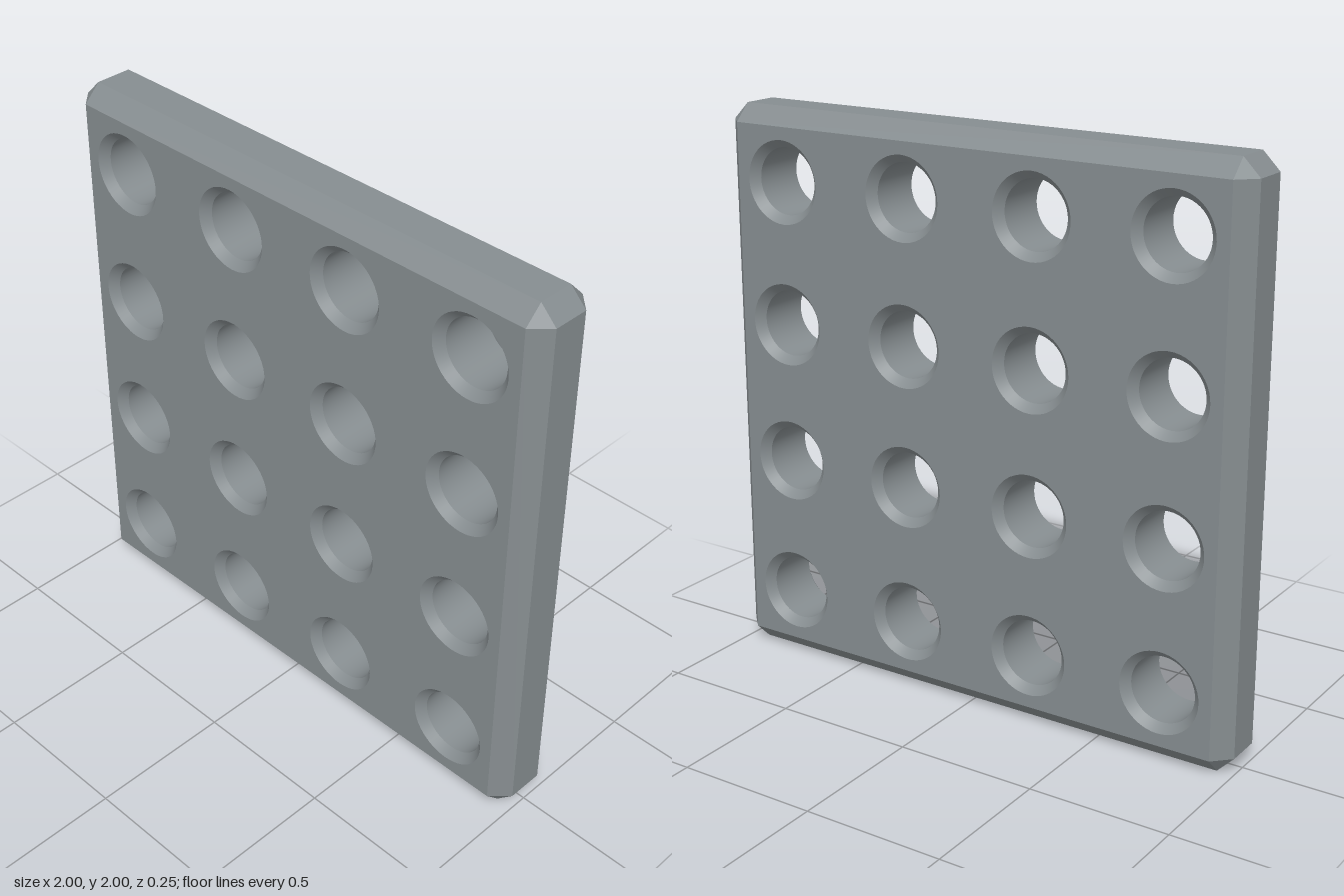
import * as THREE from 'three';
import { mergeGeometries } from 'three/addons/utils/BufferGeometryUtils.js';

const HALF = 1, DEPTH = 0.125, BEVEL = 0.06;      // plate half size, half thickness, edge chamfer
const HOLE_R = 0.117, RIM_R = 0.145, SINK = 0.03; // bore, countersink radius and depth
const CENTRES = [-0.75, -0.25, 0.25, 0.75];
const SEGMENTS = 48;

// Chamfered outer edge: four loops of eight points, joined back to front
function edgeGeometry() {
  const a = HALF - BEVEL;
  const loop = (outer, z) => [
    [outer, -a], [outer, a], [a, outer], [-a, outer],
    [-outer, a], [-outer, -a], [-a, -outer], [a, -outer],
  ].map(([x, y]) => new THREE.Vector3(x, y, z));
  const loops = [
    loop(a, -DEPTH), loop(HALF, -DEPTH + BEVEL),
    loop(HALF, DEPTH - BEVEL), loop(a, DEPTH),
  ];
  const points = [];
  const addTriangle = (p, q, r) => {
    if (!p.equals(q) && !q.equals(r) && !r.equals(p)) points.push(p, q, r);
  };
  for (let i = 0; i < 3; i++) {
    for (let j = 0; j < 8; j++) {
      const k = (j + 1) % 8;
      addTriangle(loops[i][j], loops[i][k], loops[i + 1][k]);
      addTriangle(loops[i][j], loops[i + 1][k], loops[i + 1][j]);
    }
  }
  const geometry = new THREE.BufferGeometry().setFromPoints(points);
  geometry.computeVertexNormals();
  return geometry;
}

// Flat square face pierced by the grid of holes
function faceGeometry() {
  const a = HALF - BEVEL;
  const shape = new THREE.Shape([
    new THREE.Vector2(-a, -a), new THREE.Vector2(a, -a),
    new THREE.Vector2(a, a), new THREE.Vector2(-a, a),
  ]);
  for (const x of CENTRES) {
    for (const y of CENTRES) {
      shape.holes.push(new THREE.Path().absarc(x, y, RIM_R, 0, Math.PI * 2, true));
    }
  }
  return new THREE.ShapeGeometry(shape, SEGMENTS / 2);
}

// Inward-facing bore with a countersink at each end; separate bands keep the rims sharp
function holeGeometry() {
  const profile = [
    [RIM_R, DEPTH], [HOLE_R, DEPTH - SINK], [HOLE_R, SINK - DEPTH], [RIM_R, -DEPTH],
  ].map(([r, y]) => new THREE.Vector2(r, y));
  const bands = [0, 1, 2].map((i) => new THREE.LatheGeometry(profile.slice(i, i + 2), SEGMENTS));
  return mergeGeometries(bands).rotateX(Math.PI / 2);
}

export function createModel() {
  const model = new THREE.Group();
  model.name = 'perforatedPlate';
  const material = new THREE.MeshStandardMaterial({ color: 0x868d90 });
  const add = (name, geometry, x, y, z) => {
    const mesh = new THREE.Mesh(geometry, material);
    mesh.name = name;
    mesh.position.set(x, y, z);
    model.add(mesh);
    return mesh;
  };

  add('chamferedEdge', edgeGeometry(), 0, HALF, 0);

  const face = faceGeometry();
  add('frontFace', face, 0, HALF, DEPTH);
  add('backFace', face, 0, HALF, -DEPTH).rotation.y = Math.PI;

  const hole = holeGeometry();
  for (const x of CENTRES) {
    for (const y of CENTRES) add('countersunkHole', hole, x, HALF + y, 0);
  }
  return model;
}
